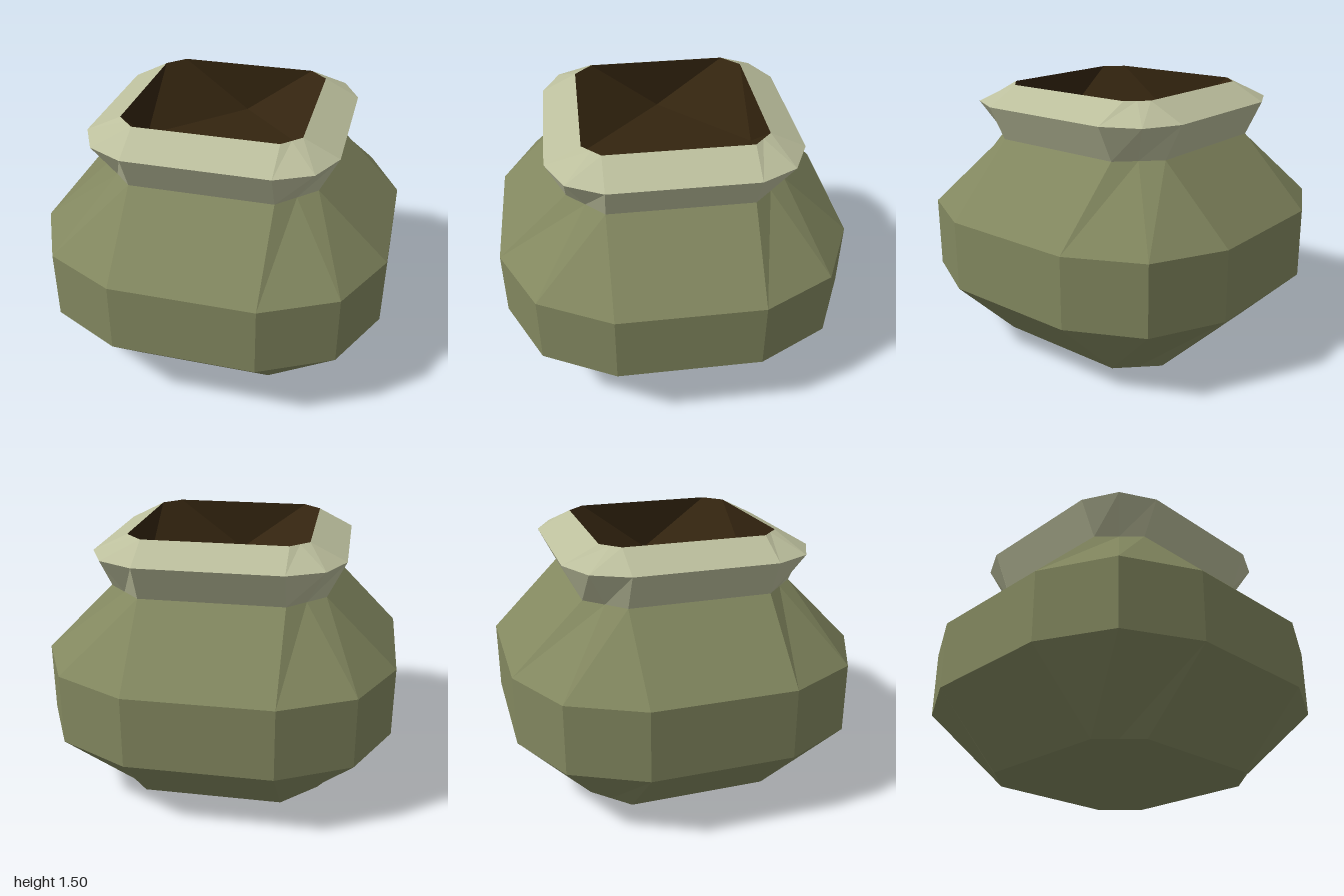
import * as THREE from 'three';

// Twelve-point ring: each corner has two side points and one diagonal point.
// side = half length of the flat side, half = half width, diag = corner point.
function ring(y, side, half, diag) {
  const corner = [[side, half], [diag, diag], [half, side]];
  const points = [];
  for (let q = 0; q < 4; q++) {
    for (const [px, pz] of corner) {
      let x = px, z = pz;
      for (let k = 0; k < q; k++) [x, z] = [z, -x];
      points.push([x, y, z]);
    }
  }
  return points;
}

// Joins stacked rings with triangles, every quad split the same way round.
function loft(rings) {
  const tris = [];
  for (let r = 0; r < rings.length - 1; r++) {
    const low = rings[r], high = rings[r + 1];
    for (let i = 0; i < low.length; i++) {
      const j = (i + 1) % low.length;
      tris.push(low[i], low[j], high[j], low[i], high[j], high[i]);
    }
  }
  return tris;
}

function makeMesh(name, tris, material) {
  const geometry = new THREE.BufferGeometry();
  geometry.setAttribute('position', new THREE.Float32BufferAttribute(tris.flat(), 3));
  geometry.computeVertexNormals(); // unshared corners give flat facets
  const mesh = new THREE.Mesh(geometry, material);
  mesh.name = name;
  return mesh;
}

export function createModel() {
  const clay = new THREE.MeshStandardMaterial({ color: 0x82875f, flatShading: true });
  clay.name = 'olive clay';
  const paleClay = new THREE.MeshStandardMaterial({ color: 0xbcbf9d, flatShading: true });
  paleClay.name = 'pale clay';
  const dark = new THREE.MeshStandardMaterial({ color: 0x33240f, flatShading: true });
  dark.name = 'dark brown inside';

  const base = ring(0, 0.4, 0.6, 0.5);
  const neck = ring(1.2, 0.4, 0.6, 0.5);
  const mouth = ring(1.5, 0.4, 0.5, 0.45);

  // Body: tapered foot, straight belly, sloping shoulder, closed underneath
  const bodyTris = loft([base, ring(0.4, 0.4, 1, 0.8), ring(0.8, 0.4, 1, 0.8), neck]);
  for (let i = 0; i < 12; i++) bodyTris.push([0, 0, 0], base[(i + 1) % 12], base[i]);

  // Neck and rim: flares out, then bevels in to the mouth
  const rimTris = loft([neck, ring(1.4, 0.4, 0.7, 0.6), mouth]);

  // Inside: diamond floor, upright triangular walls and sloping corners
  const floor = [[0, 1.2, 0.5], [0.5, 1.2, 0], [0, 1.2, -0.5], [-0.5, 1.2, 0]];
  const insideTris = [floor[0], floor[1], floor[2], floor[0], floor[2], floor[3]];
  for (let q = 0; q < 4; q++) {
    const a = mouth[q * 3], b = mouth[q * 3 + 2], next = mouth[(q * 3 + 3) % 12];
    const f = floor[q], g = floor[(q + 1) % 4];
    insideTris.push(a, b, g, a, g, f); // corner slope
    insideTris.push(b, next, g); // side wall
  }

  const pot = new THREE.Group();
  pot.name = 'pot';
  pot.add(
    makeMesh('body', bodyTris, clay),
    makeMesh('neckAndRim', rimTris, paleClay),
    makeMesh('inside', insideTris, dark)
  );
  return pot;
}
